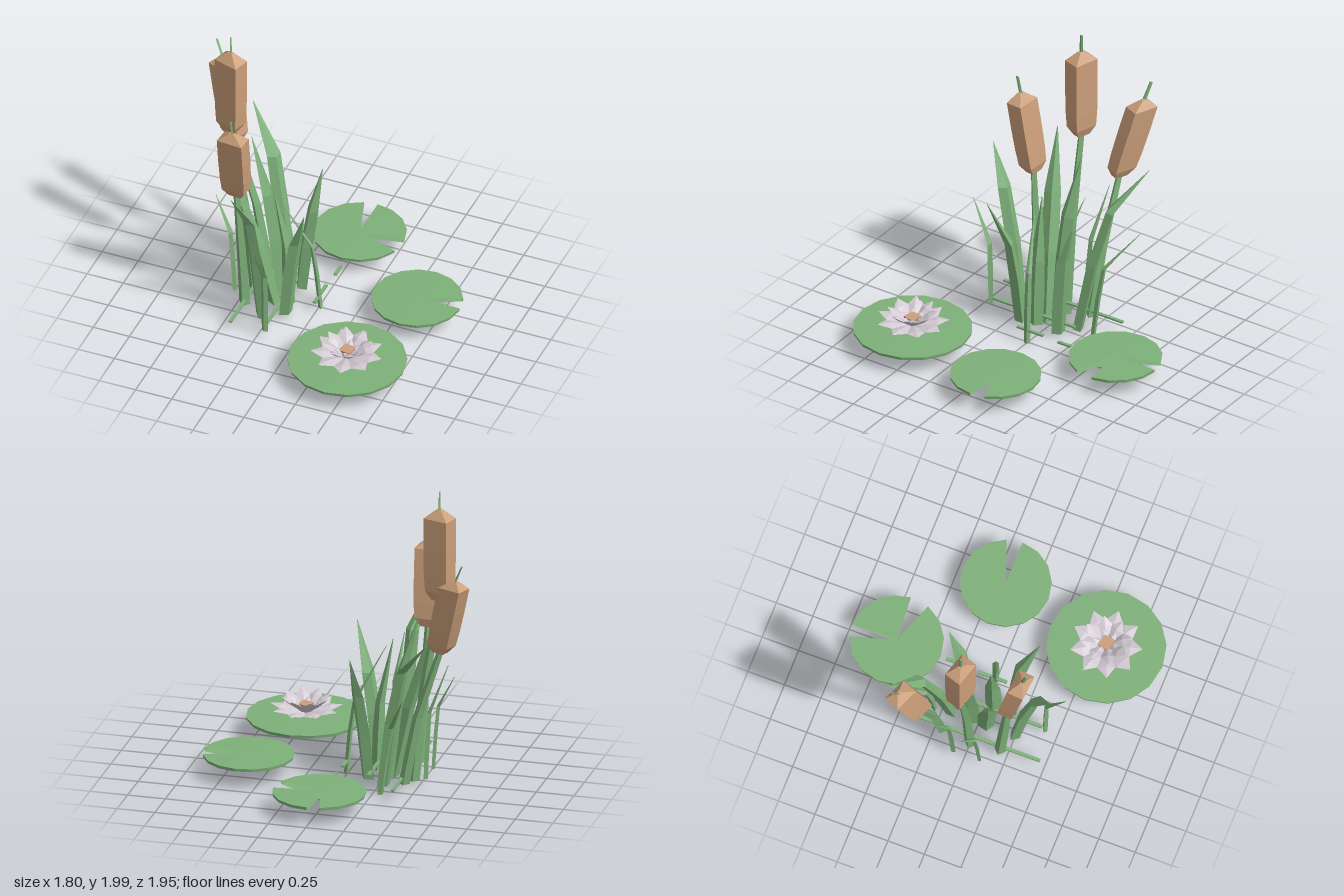
import * as THREE from 'three';

const green = new THREE.MeshStandardMaterial({ color: 0x7db079, side: THREE.DoubleSide });
green.name = 'leafGreen';
const brown = new THREE.MeshStandardMaterial({ color: 0xcb9f7a });
brown.name = 'seedBrown';
const pale = new THREE.MeshStandardMaterial({ color: 0xd3cad3 });
pale.name = 'petalPale';

const V = (p) => new THREE.Vector3(...p);

function add(parent, name, geometry, material) {
  const flat = geometry.index ? geometry.toNonIndexed() : geometry;
  flat.computeVertexNormals();
  const mesh = new THREE.Mesh(flat, material);
  mesh.name = name;
  parent.add(mesh);
  return mesh;
}

// Four-sided loft: rings of [centre, half width, half depth], from bottom to top
function loft(rings, yaw = 0, start = 0) {
  const n = rings.length - 1;
  const geo = new THREE.CylinderGeometry(1, 1, 1, 4, n, false, start);
  const pos = geo.attributes.position;
  const c = Math.cos(yaw), s = Math.sin(yaw);
  for (let i = 0; i < pos.count; i++) {
    const [p, a, b] = rings[Math.round((pos.getY(i) + 0.5) * n)];
    const u = pos.getX(i) * a, v = pos.getZ(i) * b;
    pos.setXYZ(i, p.x + u * c + v * s, p.y, p.z - u * s + v * c);
  }
  return geo;
}

// Reed blade: rises nearly straight, then bends outward to a point
function blade(parent, base, mid, tip, width) {
  const [b, m, t] = [V(base), V(mid), V(tip)];
  const yaw = Math.atan2(t.x - b.x, t.z - b.z);
  const low = b.clone().lerp(m, 0.55);
  low.x += (b.x - m.x) * 0.1;
  low.z += (b.z - m.z) * 0.1;
  const w = width / 2;
  add(parent, 'reedBlade', loft([
    [b, w * 0.9, w * 0.65], [low, w, w * 0.7], [m, w * 0.9, w * 0.55], [t, 0.002, 0.002],
  ], yaw), green);
}

// Cattail: stem, chunky seed head and thin spike
function cattail(parent, base, bottom, top, spike, hx, hz, yaw) {
  const g = new THREE.Group();
  g.name = 'cattail';
  parent.add(g);
  const [s, b, t, e] = [base, bottom, top, spike].map(V);
  const bend = s.clone().lerp(b, 0.5);
  bend.x += (s.x - b.x) * 0.12;
  add(g, 'stem', loft([[s, 0.038, 0.038], [bend, 0.032, 0.032], [b, 0.022, 0.022]]), green);
  const at = (f) => b.clone().lerp(t, f);
  const k = Math.SQRT2;
  const ring = (f, r) => [at(f), hx * k * r, hz * k * r];
  add(g, 'seedHead', loft(
    [ring(0, 0.5), ring(0.1, 0.9), ring(0.28, 0.97), ring(0.56, 1), ring(0.9, 1), ring(1, 0.2)],
    yaw, Math.PI / 4), brown);
  add(g, 'spike', loft([[at(0.97), 0.008, 0.014], [e, 0.005, 0.012]]), green);
}

// Lily pad: one or more wedges in degrees, flat on top, with a saucer underside
function pad(parent, x, y, z, r, arcs) {
  const g = new THREE.Group();
  g.name = 'lilyPad';
  g.position.set(x, y, z);
  parent.add(g);
  for (const [from, to] of arcs) {
    const rad = Math.PI / 180;
    const sides = Math.round((to - from) / 22.5);
    const geo = new THREE.CylinderGeometry(r, r * 0.99, 0.02, sides, 1, false, from * rad, (to - from) * rad);
    const pos = geo.attributes.position;
    for (let i = 0; i < pos.count; i++) {
      if (Math.hypot(pos.getX(i), pos.getZ(i)) < 0.01) pos.setY(i, pos.getY(i) > 0 ? 0.013 : -0.038);
    }
    add(g, 'padWedge', geo, green);
  }
}

// Petal ring around the flower's centre
function petals(parent, count, length, width, tilt, offset) {
  for (let i = 0; i < count; i++) {
    const arm = new THREE.Group();
    arm.name = 'petalArm';
    arm.rotation.y = offset + (i / count) * Math.PI * 2;
    parent.add(arm);
    const geo = loft([
      [V([0, 0, 0]), 0.015, 0.008],
      [V([0, length * 0.35, -0.004]), width * 0.38, 0.012],
      [V([0, length * 0.68, -0.004]), width * 0.5, 0.014],
      [V([0, length, 0]), 0.001, 0.001],
    ]);
    add(arm, 'petal', geo, pale).rotation.x = tilt;
  }
}

export function createModel() {
  const model = new THREE.Group();
  model.name = 'pondPlants';

  // Cattails
  cattail(model, [-0.44, 0.01, 0], [-0.61, 1.26, 0], [-0.61, 1.88, 0], [-0.61, 2, 0], 0.087, 0.058, -0.3);
  cattail(model, [-0.43, 0.06, 0.2], [-0.46, 0.97, 0.265], [-0.45, 1.53, 0.36], [-0.45, 1.64, 0.385], 0.087, 0.055, -0.08);
  cattail(model, [-0.43, 0.06, -0.2], [-0.68, 1, -0.245], [-0.81, 1.54, -0.35], [-0.86, 1.65, -0.37], 0.085, 0.055, -0.4);

  // Reed blades: base, bend, tip, width
  const reeds = new THREE.Group();
  reeds.name = 'reeds';
  model.add(reeds);
  const blades = [
    [[-0.29, 0.01, 0.05], [-0.49, 0.85, 0.14], [-0.62, 1.25, 0.19], 0.12],
    [[-0.29, 0.03, 0.25], [-0.32, 0.88, 0.4], [-0.39, 1.13, 0.53], 0.11],
    [[-0.29, 0.03, -0.19], [-0.45, 0.87, -0.33], [-0.66, 1.13, -0.49], 0.11],
    [[-0.28, 0.02, -0.04], [-0.38, 0.78, -0.05], [-0.5, 1.18, -0.08], 0.12],
    [[-0.54, 0.06, -0.08], [-0.57, 0.52, -0.1], [-0.71, 0.88, -0.15], 0.05],
    [[-0.3, 0.01, -0.3], [-0.38, 0.48, -0.33], [-0.51, 0.75, -0.53], 0.05],
    [[-0.2, 0.06, 0.42], [-0.2, 0.5, 0.43], [-0.22, 0.79, 0.57], 0.05],
    [[-0.16, 0.04, 0.17], [-0.08, 0.64, 0.2], [0.02, 0.95, 0.3], 0.11],
    [[-0.17, 0.04, -0.12], [-0.12, 0.62, -0.19], [-0.09, 0.9, -0.28], 0.11],
    [[0.01, 0.01, 0], [-0.04, 0.5, 0.02], [-0.23, 0.87, 0.1], 0.045],
    [[-0.54, 0.06, 0.1], [-0.58, 0.5, 0.08], [-0.7, 0.73, 0.03], 0.04],
    [[-0.18, 0.04, 0.06], [-0.2, 0.5, 0.06], [-0.28, 0.93, 0.08], 0.11],
  ];
  for (const b of blades) blade(reeds, ...b);

  // Thin runners lying at the waterline
  for (const [x, z0, z1] of [[-0.42, -0.45, 0.47], [-0.2, -0.23, 0.4], [0.01, -0.34, -0.24], [0, -0.12, 0.08]]) {
    const geo = new THREE.BoxGeometry(0.022, 0.012, z1 - z0);
    add(reeds, 'runner', geo, green).position.set(x, 0.1, (z0 + z1) / 2);
  }

  // Floating pads
  pad(model, 0.44, 0.136, 0.59, 0.385, [[0, 360]]);
  pad(model, 0.61, 0.137, -0.165, 0.295, [[110, 450]]);
  pad(model, 0, 0.13, -0.675, 0.303, [[94, 180], [197, 430]]);

  // Water lily flower
  const flower = new THREE.Group();
  flower.name = 'flower';
  flower.position.set(0.44, 0.155, 0.59);
  model.add(flower);
  petals(flower, 9, 0.24, 0.115, 1.36, 0.2);
  petals(flower, 8, 0.205, 0.1, 0.92, 0.45);
  petals(flower, 6, 0.12, 0.06, 0.8, 0.1);
  const heart = add(flower, 'flowerCentre', new THREE.CylinderGeometry(0.058, 0.04, 0.06, 4), brown);
  heart.position.y = 0.04;
  heart.rotation.y = 0.6;

  return model;
}
